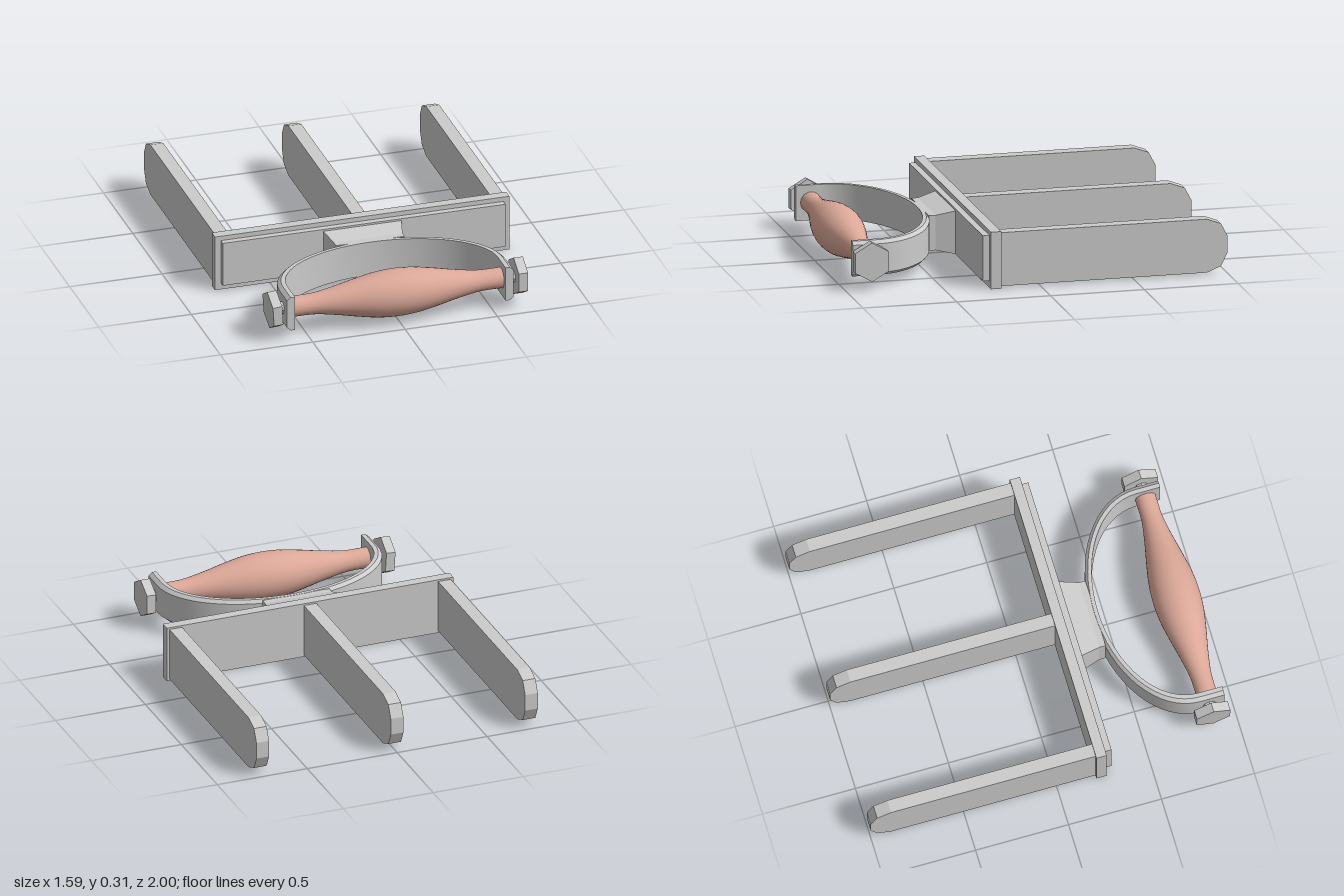
import * as THREE from 'three';
import { toCreasedNormals } from 'three/addons/utils/BufferGeometryUtils.js';

const metal = new THREE.MeshStandardMaterial({ color: 0xcccccc });
const wood = new THREE.MeshStandardMaterial({ color: 0xdca898 });

function add(parent, name, geometry, material = metal) {
  const mesh = new THREE.Mesh(geometry, material);
  mesh.name = name;
  parent.add(mesh);
  return mesh;
}

// Box given by its extents on each axis
function box(parent, name, [x0, x1], [y0, y1], [z0, z1]) {
  const mesh = add(parent, name, new THREE.BoxGeometry(x1 - x0, y1 - y0, z1 - z0));
  mesh.position.set((x0 + x1) / 2, (y0 + y1) / 2, (z0 + z1) / 2);
  return mesh;
}

// Closed skin over convex rings, each counter-clockwise about the travel direction
function loft(rings, crease) {
  const n = rings[0].length;
  const last = (rings.length - 1) * n;
  const index = [];
  for (let i = 0; i < rings.length - 1; i++) {
    for (let j = 0; j < n; j++) {
      const a = i * n + j, b = i * n + (j + 1) % n;
      index.push(a, b, b + n, a, b + n, a + n);
    }
  }
  for (let j = 1; j < n - 1; j++) {
    index.push(0, j + 1, j, last, last + j, last + j + 1);
  }
  const geometry = new THREE.BufferGeometry();
  geometry.setAttribute('position', new THREE.Float32BufferAttribute(rings.flat(2), 3));
  geometry.setIndex(index);
  return toCreasedNormals(geometry, crease);
}

// Flat tine with a clipped, rounded tip, running towards -z
function tineGeometry() {
  const outline = [
    [-0.215, 0.01], [0.89, 0.01], [0.965, 0.04], [1, 0.11],
    [1, 0.2], [0.965, 0.267], [0.89, 0.295], [-0.215, 0.295],
  ];
  const shape = new THREE.Shape(outline.map(([x, y]) => new THREE.Vector2(x, y)));
  const geometry = new THREE.ExtrudeGeometry(shape, { depth: 0.07, bevelEnabled: false });
  return geometry.translate(0, 0, -0.035).rotateY(Math.PI / 2);
}

// Curved band with chamfered outer edges and straight ends
function bandGeometry() {
  const y = 0.153, zc = 0.82, zEnd = 0.95, steps = 32;
  const ring = (c, s, straight) => {
    const at = (a, b, h) => [a * c, y + h, straight ? zEnd : zc - b * s];
    return [
      at(0.57, 0.37, -0.094), at(0.593, 0.39, -0.094), at(0.613, 0.405, -0.077),
      at(0.613, 0.405, 0.077), at(0.593, 0.39, 0.094), at(0.57, 0.37, 0.094),
    ];
  };
  const rings = [ring(-1, 0, true)];
  for (let i = 0; i <= steps; i++) {
    const t = Math.PI * (1 - i / steps);
    rings.push(ring(Math.cos(t), Math.sin(t), false));
  }
  rings.push(ring(1, 0, true));
  return loft(rings, 0.45);
}

// Flared block joining the band to the plate
function mountGeometry() {
  const sections = [
    [0.29, 0.214, 0.038, 0.272], [0.4, 0.186, 0.06, 0.246], [0.435, 0.186, 0.06, 0.246],
  ];
  return loft(sections.map(([z, w, y0, y1]) =>
    [[-w, y0, z], [w, y0, z], [w, y1, z], [-w, y1, z]]), 0.1);
}

// Turned grip, lying along x
function gripGeometry() {
  const half = [[0.45, 0.056], [0.33, 0.075], [0.2, 0.102], [0.1, 0.119]];
  const ends = [0.575, 0.055];
  const points = [
    [-ends[0], ends[1]], ...half.map(([x, r]) => [-x, r]), [0, 0.125],
    ...half.map(([x, r]) => [x, r]).reverse(), ends,
  ].map(([x, r]) => new THREE.Vector2(r, x));
  const profile = new THREE.SplineCurve(points).getPoints(40);
  return new THREE.LatheGeometry(profile, 32).rotateZ(-Math.PI / 2);
}

export function createModel() {
  const model = new THREE.Group();
  model.name = 'forkAttachment';

  // Back plate and raised panel
  box(model, 'backPlate', [-0.797, 0.797], [0, 0.305], [0.21, 0.265]);
  box(model, 'frontPanel', [-0.765, 0.765], [0.037, 0.28], [0.26, 0.3]);

  // Three tines
  const tine = tineGeometry();
  [['rightTine', -0.747], ['middleTine', 0], ['leftTine', 0.747]].forEach(([name, x]) => {
    add(model, name, tine).position.x = x;
  });

  // Handle assembly
  const handle = new THREE.Group();
  handle.name = 'handle';
  handle.position.x = -0.01;
  model.add(handle);
  add(handle, 'mountBlock', mountGeometry());
  add(handle, 'bow', bandGeometry());
  add(handle, 'grip', gripGeometry(), wood).position.set(0, 0.155, 0.87);

  // Hex bolts at both ends, the right one slightly tilted
  const head = toCreasedNormals(
    new THREE.CylinderGeometry(0.104, 0.104, 0.05, 6, 1, false, Math.PI / 6).rotateZ(Math.PI / 2), 0.3);
  const shank = toCreasedNormals(
    new THREE.CylinderGeometry(0.034, 0.034, 0.09, 8).rotateZ(Math.PI / 2), 0.3);
  for (const side of [-1, 1]) {
    const bolt = new THREE.Group();
    bolt.name = side < 0 ? 'rightBolt' : 'leftBolt';
    bolt.position.set(side * 0.664, 0.153, 0.868);
    if (side < 0) bolt.rotation.z = 0.06;
    add(bolt, 'boltHead', head);
    add(bolt, 'boltShank', shank).position.x = -side * 0.05;
    handle.add(bolt);
  }
  return model;
}
